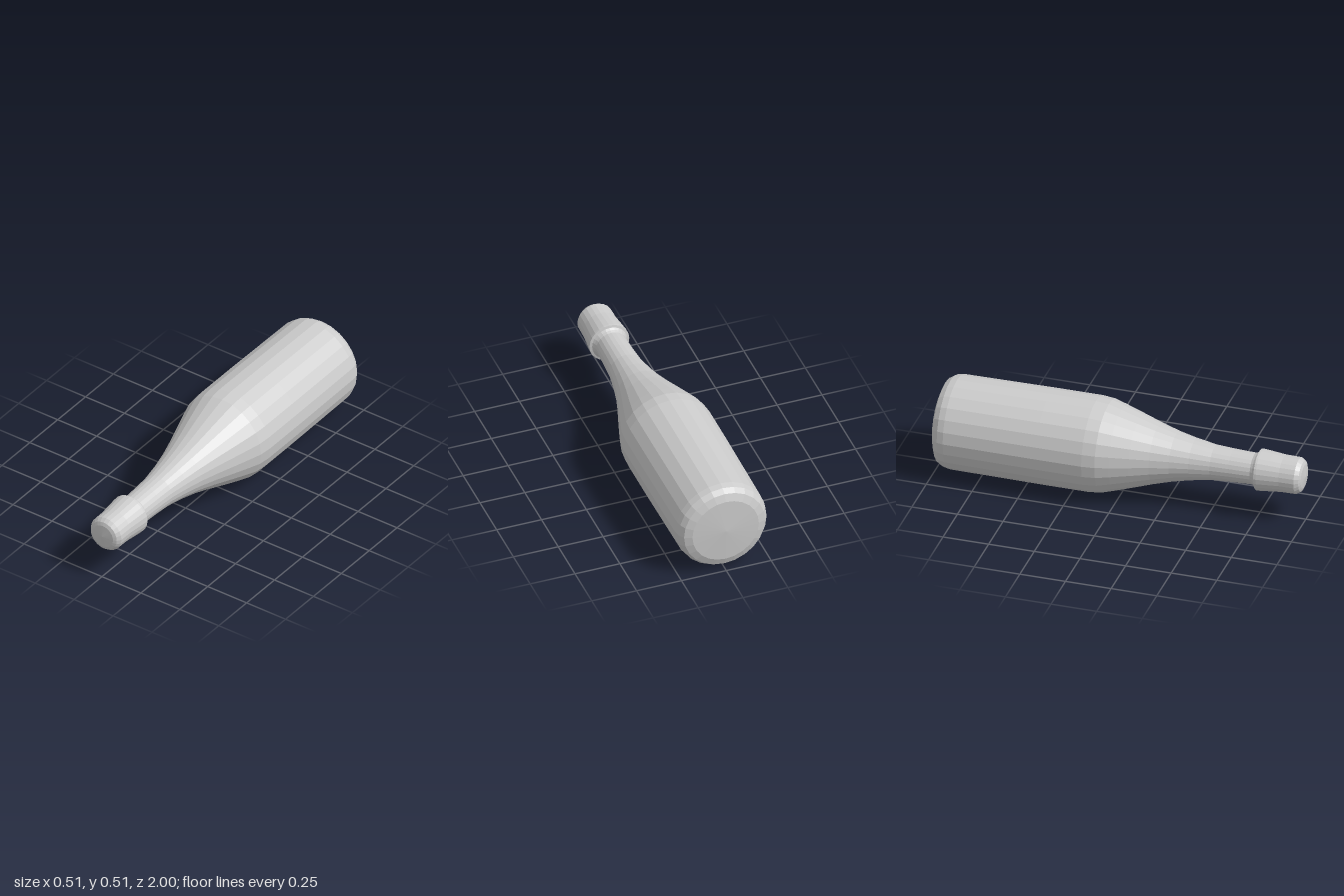
import * as THREE from 'three';

const SIDES = 24;
const AXIS_HEIGHT = 0.257;

// Revolves [radius, z] pairs, listed from back to front, around the long axis.
function turned(name, profile) {
  const points = profile.map(([r, z]) => new THREE.Vector2(r, z));
  const geometry = new THREE.LatheGeometry(points, SIDES);
  geometry.rotateX(Math.PI / 2);
  geometry.translate(0, AXIS_HEIGHT, 0);
  const material = new THREE.MeshStandardMaterial({
    color: 0xcccccc, flatShading: true, side: THREE.DoubleSide,
  });
  const mesh = new THREE.Mesh(geometry, material);
  mesh.name = name;
  return mesh;
}

export function createModel() {
  const bottle = new THREE.Group();
  bottle.name = 'bottle';

  // Slightly domed base, straight body, sloping shoulder and slim neck
  bottle.add(turned('bottleBody', [
    [0, -1], [0.185, -0.99], [0.226, -0.974], [0.245, -0.945], [0.252, -0.91],
    [0.256, -0.4], [0.256, -0.15], [0.249, -0.08], [0.228, -0.01],
    [0.196, 0.09], [0.163, 0.19], [0.134, 0.29], [0.112, 0.39],
    [0.094, 0.5], [0.088, 0.6], [0.084, 0.72], [0.084, 0.76],
  ]));

  // Flared cap over the mouth, with a stepped rim and a shallow crown
  bottle.add(turned('cap', [
    [0.083, 0.715], [0.09, 0.731], [0.098, 0.742], [0.111, 0.746],
    [0.111, 0.758], [0.105, 0.82], [0.099, 0.88], [0.098, 0.962],
    [0.083, 0.984], [0.065, 0.992], [0, 1],
  ]));
  return bottle;
}
